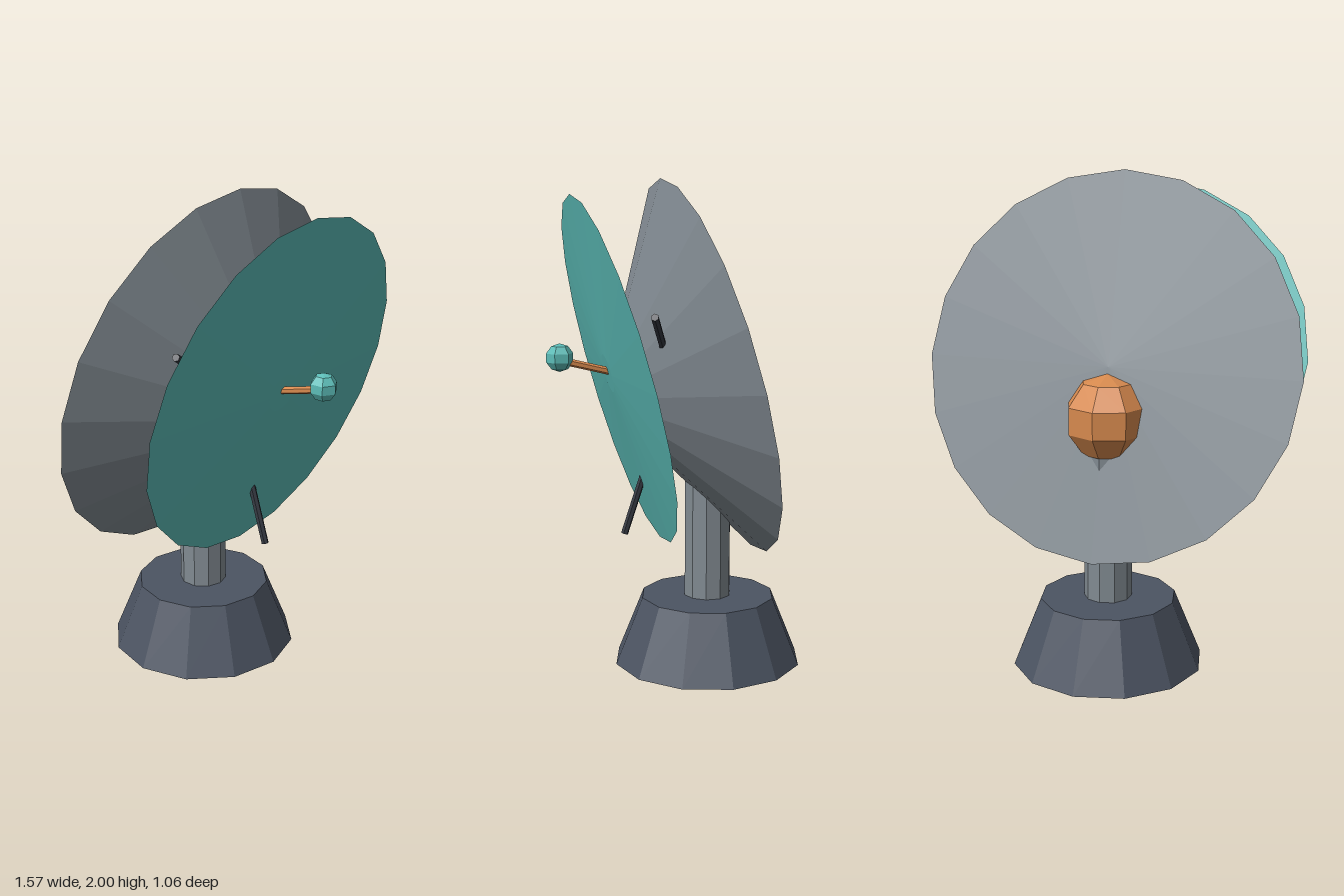
import * as THREE from 'three';

const mat = (name, color) => {
  const m = new THREE.MeshStandardMaterial({ color, flatShading: true });
  m.name = name;
  return m;
};

export function createModel() {
  const slate = mat('slate', 0x4c5462);
  const grey = mat('grey', 0x818a91);
  const teal = mat('teal', 0x5cbcb7);
  const copper = mat('copper', 0xd6894e);
  const charcoal = mat('charcoal', 0x363a43);

  const model = new THREE.Group();
  model.name = 'dishAntenna';
  const axisZ = -0.135; // the stand's vertical axis
  const tilt = Math.atan(0.39 / 1.52);

  const add = (name, geometry, material, x, y, z) => {
    const mesh = new THREE.Mesh(geometry, material);
    mesh.name = name;
    mesh.position.set(x, y, z);
    model.add(mesh);
    return mesh;
  };

  // Rod between two points
  const rod = (name, a, b, radius, material) => {
    const dir = b.clone().sub(a);
    const mid = a.clone().add(b).multiplyScalar(0.5);
    const mesh = add(name, new THREE.CylinderGeometry(radius, radius, dir.length(), 6), material, mid.x, mid.y, mid.z);
    mesh.quaternion.setFromUnitVectors(new THREE.Vector3(0, 1, 0), dir.normalize());
  };

  // Frustum facing forward, its wide rim at the given centre
  const dish = (name, rim, hub, depth, material, y, z) => {
    const geometry = new THREE.CylinderGeometry(hub, rim, depth, 20);
    geometry.translate(0, depth / 2, 0).rotateX(Math.PI / 2);
    add(name, geometry, material, 0, y, z).rotation.x = tilt;
  };

  // Stand
  add('base', new THREE.CylinderGeometry(0.28, 0.394, 0.28, 12), slate, 0, 0.14, axisZ);
  add('column', new THREE.CylinderGeometry(0.098, 0.098, 0.755, 10), grey, 0, 0.6575, axisZ);
  add('pivotBall', new THREE.SphereGeometry(0.179, 8, 5), copper, 0, 1.035, axisZ);

  // Dish housing and front panel
  dish('dishHousing', 0.787, 0.15, 0.37, grey, 1.24, -0.13);
  dish('dishPanel', 0.723, 0.08, 0.035, teal, 1.24, 0.25);

  // Feed rod and tip
  rod('feedRod', new THREE.Vector3(0, 1.22, 0.2), new THREE.Vector3(0, 1.29, 0.48), 0.015, copper);
  add('feedTip', new THREE.SphereGeometry(0.057, 6, 5).rotateY(Math.PI / 2), teal, 0, 1.3, 0.478);

  // Three struts spread around the centre
  for (const angle of [Math.PI / 6, (5 * Math.PI) / 6, -Math.PI / 2 - 0.022]) {
    const at = (r, z) => new THREE.Vector3(r * Math.cos(angle), 1.187 + r * Math.sin(angle), z);
    rod('strut', at(0.628, 0.217), at(0.17, 0.068), 0.015, charcoal);
  }

  return model;
}
